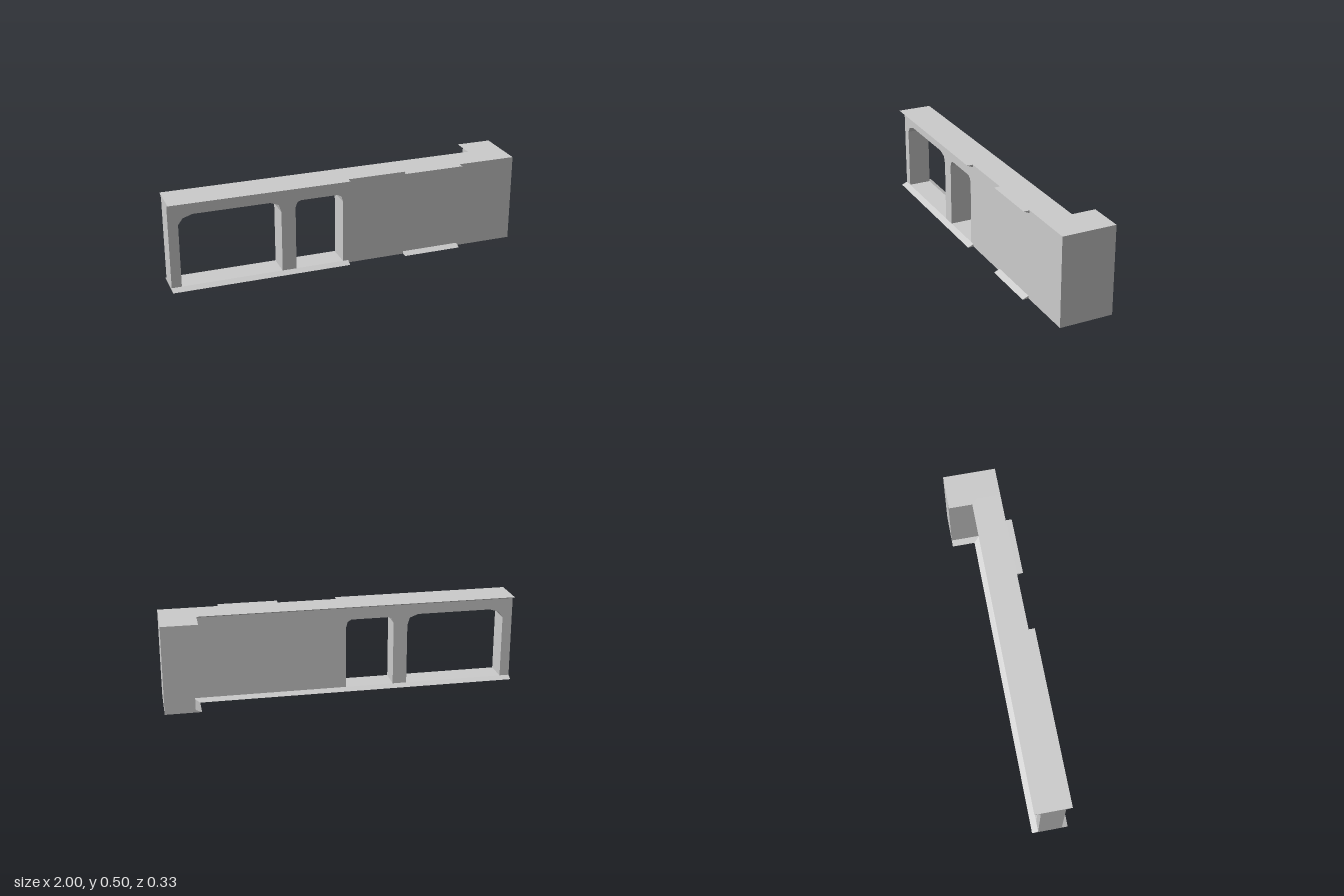
import * as THREE from 'three';

const H = 0.5, FRONT = 0.133, BACK = 0, LIP = 0.034, LIP_H = 0.015;
const BLOCK_X = 0.833, BLOCK_BACK = -0.167;

const material = new THREE.MeshStandardMaterial({ color: 0xcccccc, flatShading: true });

function addMesh(group, name, geometry) {
  const mesh = new THREE.Mesh(geometry, material);
  mesh.name = name;
  group.add(mesh);
  return mesh;
}

// Triangular lip along an edge; root and tip are [x, z] pairs for its two ends.
function lipGeometry([root0, root1], [tip0, tip1], top) {
  const outer = top ? H : 0;
  const inner = top ? H - LIP_H : LIP_H;
  const at = ([x, z], y) => [x, y, z];
  const R0 = at(root0, outer), R1 = at(root1, outer);
  const T0 = at(tip0, outer), T1 = at(tip1, outer);
  const r0 = at(root0, inner), r1 = at(root1, inner);
  const triangles = [
    [R0, T0, T1], [R0, T1, R1], // flat side
    [r0, r1, T1], [r0, T1, T0], // sloped side
    [R0, r0, T0], [R1, T1, r1], // ends
  ];
  if (!top) triangles.forEach((t) => t.reverse());
  const geometry = new THREE.BufferGeometry();
  geometry.setAttribute('position', new THREE.Float32BufferAttribute(triangles.flat(2), 3));
  geometry.computeVertexNormals();
  return geometry;
}

export function createModel() {
  const model = new THREE.Group();
  model.name = 'wallSection';

  // Long wall with two openings that have faceted upper corners
  const outline = new THREE.Shape([
    [-1, 0], [BLOCK_X, 0], [BLOCK_X, H], [-1, H],
  ].map((p) => new THREE.Vector2(...p)));
  const openings = [
    [[-0.945, LIP_H], [-0.945, 0.373], [-0.92, 0.407], [-0.867, 0.425],
      [-0.445, 0.425], [-0.397, 0.407], [-0.383, 0.363], [-0.383, LIP_H]],
    [[-0.303, LIP_H], [-0.303, 0.38], [-0.291, 0.409], [-0.272, 0.417],
      [-0.06, 0.417], [-0.039, 0.404], [-0.031, 0.374], [-0.031, LIP_H]],
  ];
  for (const points of openings) {
    outline.holes.push(new THREE.Path(points.map((p) => new THREE.Vector2(...p))));
  }
  const wall = new THREE.ExtrudeGeometry(outline, { depth: FRONT - BACK, bevelEnabled: false });
  addMesh(model, 'wall', wall).position.z = BACK;

  // Deeper block at the end
  const depth = FRONT - BLOCK_BACK;
  const block = addMesh(model, 'endBlock', new THREE.BoxGeometry(1 - BLOCK_X, H, depth));
  block.position.set((1 + BLOCK_X) / 2, H / 2, (FRONT + BLOCK_BACK) / 2);

  // Lips along top and bottom; the two behind meet in a mitre at the block
  const tipZ = FRONT + LIP, backZ = BACK - LIP, sideX = BLOCK_X - LIP;
  const lips = {
    FrontLongLip: [[[-1, FRONT], [0, FRONT]], [[-1, tipZ], [0, tipZ]]],
    FrontShortLip: [[[0.333, FRONT], [0.667, FRONT]], [[0.333, tipZ], [0.667, tipZ]]],
    BackLip: [[[BLOCK_X, BACK], [-1, BACK]], [[sideX, backZ], [-1, backZ]]],
    BlockLip: [[[BLOCK_X, BLOCK_BACK], [BLOCK_X, BACK]], [[sideX, BLOCK_BACK], [sideX, backZ]]],
  };
  for (const [name, [root, tip]] of Object.entries(lips)) {
    addMesh(model, 'top' + name, lipGeometry(root, tip, true));
    addMesh(model, 'bottom' + name, lipGeometry(root, tip, false));
  }
  return model;
}
